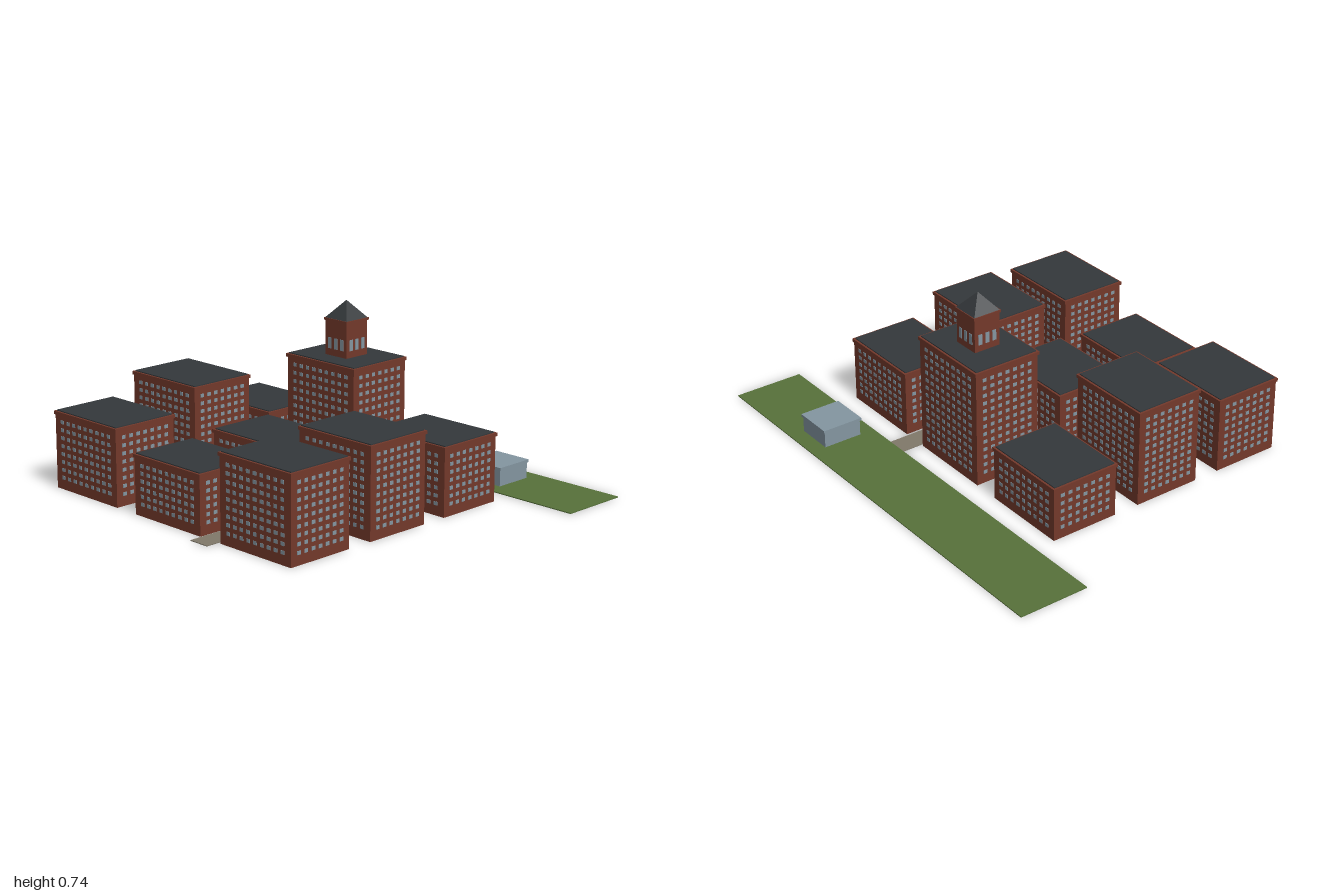
import * as THREE from 'three';
import { mergeGeometries } from 'three/addons/utils/BufferGeometryUtils.js';

const mat = (color) => new THREE.MeshStandardMaterial({ color, flatShading: true });
const brick = mat(0x74392b);
const slate = mat(0x34383b);
const glass = mat(0x8496a1);
const grass = mat(0x57723a);
const paving = mat(0x81796a);

// Box standing on height y, centred on x and z
function box(name, w, h, d, x, y, z, material) {
  const mesh = new THREE.Mesh(new THREE.BoxGeometry(w, h, d), material);
  mesh.name = name;
  mesh.position.set(x, y + h / 2, z);
  return mesh;
}

// Grid of shallow panes on all four walls of a w x d block, merged into one mesh
function windows(w, d, colsX, colsZ, pitch, rows, y0, y1, paneW, paneH) {
  const panes = [];
  for (let side = 0; side < 4; side++) {
    const onFront = side % 2 === 0;
    const cols = onFront ? colsX : colsZ;
    const out = (onFront ? d : w) / 2;
    for (let r = 0; r < rows; r++) {
      const y = rows > 1 ? y0 + ((y1 - y0) * r) / (rows - 1) : y0;
      for (let c = 0; c < cols; c++) {
        const pane = new THREE.BoxGeometry(paneW, paneH, 0.004);
        pane.translate((c - (cols - 1) / 2) * pitch, y, out);
        pane.rotateY((side * Math.PI) / 2);
        panes.push(pane);
      }
    }
  }
  const mesh = new THREE.Mesh(mergeGeometries(panes), glass);
  mesh.name = 'windows';
  return mesh;
}

// Brick block with cornice, flat roof and window grid
function block(x, z, h) {
  const g = new THREE.Group();
  g.name = 'brickBlock';
  g.position.set(x, 0, z);
  const w = 0.38, d = 0.3;
  const rows = Math.round((h - 0.09) / 0.034) + 1;
  g.add(
    box('walls', w, h - 0.01, d, 0, 0, 0, brick),
    box('cornice', w + 0.01, 0.014, d + 0.01, 0, h - 0.016, 0, brick),
    box('roof', w - 0.008, 0.006, d - 0.008, 0, h - 0.004, 0, slate),
    windows(w, d, 9, 7, 0.0366, rows, 0.05, h - 0.043, 0.018, 0.015)
  );
  return g;
}

// Square belfry with a pyramid roof
function tower(x, y, z) {
  const g = new THREE.Group();
  g.name = 'tower';
  g.position.set(x, y, z);
  const roof = new THREE.Mesh(new THREE.ConeGeometry(0.063 * Math.SQRT2, 0.075, 4, 1), slate);
  roof.name = 'towerRoof';
  roof.geometry.rotateY(Math.PI / 4);
  roof.position.y = 0.155 + 0.075 / 2;
  g.add(
    box('towerShaft', 0.12, 0.15, 0.12, 0, 0, 0, brick),
    box('towerCornice', 0.13, 0.01, 0.13, 0, 0.147, 0, brick),
    windows(0.12, 0.12, 3, 3, 0.034, 1, 0.054, 0.054, 0.018, 0.046),
    roof
  );
  return g;
}

export function createModel() {
  const model = new THREE.Group();
  model.name = 'campus';

  // Nine blocks: rows from back to front, columns from -x to +x
  const heights = [
    [0.235, 0.51, 0.288],
    [0.418, 0.267, 0.38],
    [0.327, 0.25, 0.362],
  ];
  const rowZ = [-0.247, 0.167, 0.582];
  heights.forEach((row, r) =>
    row.forEach((h, c) => model.add(block((c - 1) * 0.494, rowZ[r], h)))
  );
  model.add(tower(0, 0.51, rowZ[0]));

  // Grounds
  model.add(box('lawn', 2, 0.004, 0.305, 0, 0, -0.6405, grass));
  model.add(box('path', 0.093, 0.003, 1.28, 0.245, 0, 0.15, paving));

  // Glass pavilion on the lawn
  const pavilion = new THREE.Group();
  pavilion.name = 'pavilion';
  pavilion.position.set(0.497, 0, -0.64);
  pavilion.add(
    box('pavilionWalls', 0.165, 0.075, 0.17, 0, 0, 0, glass),
    box('pavilionRoof', 0.175, 0.012, 0.18, 0, 0.072, 0, glass)
  );
  model.add(pavilion);
  return model;
}
